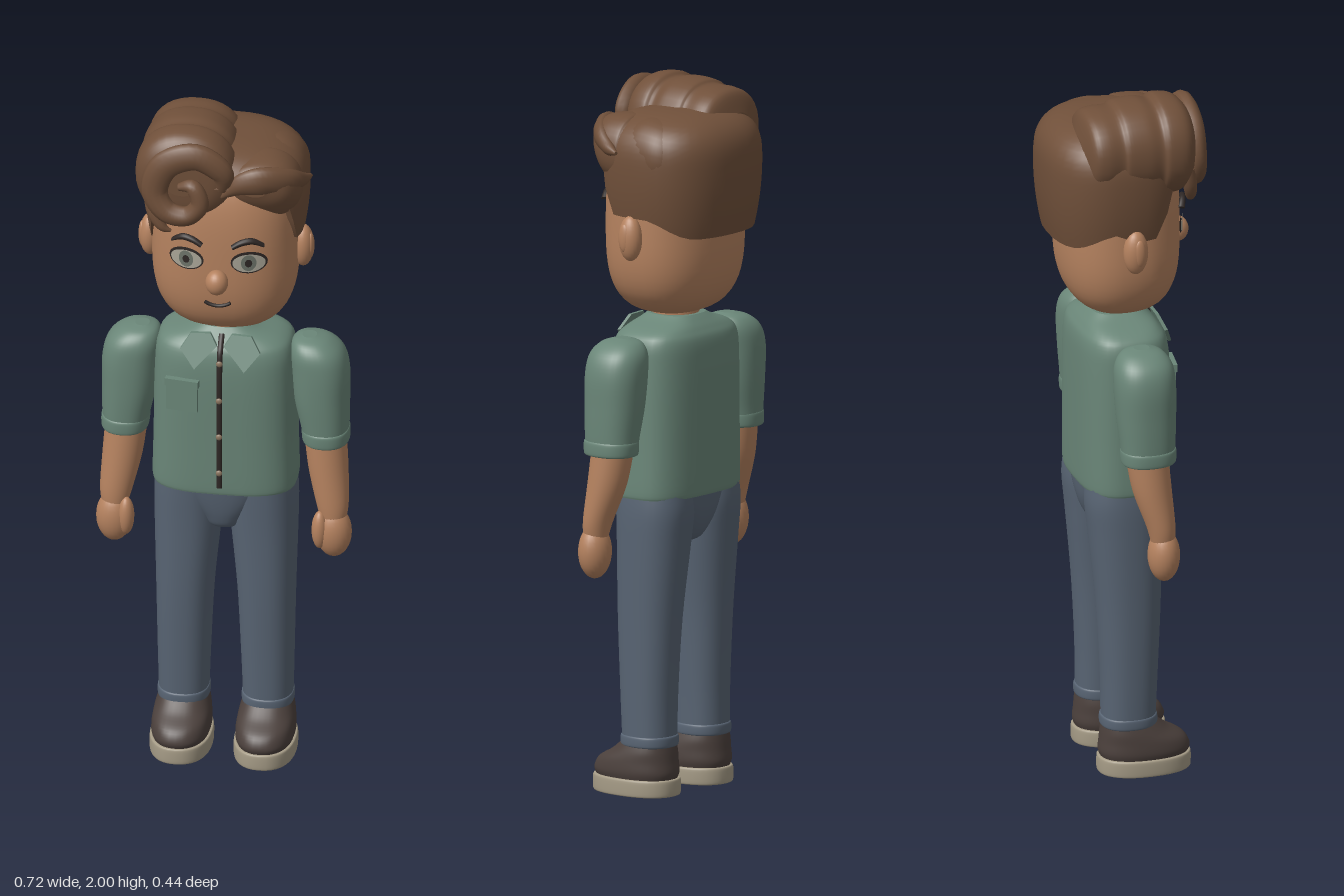
import * as THREE from 'three';

const SEG = 36;
const mat = (name, color, side = THREE.FrontSide) => {
  const m = new THREE.MeshStandardMaterial({ color, side });
  m.name = name;
  return m;
};

// superellipse point on the unit outline
const outline = (a, n) => [Math.cos(a), Math.sin(a)].map(v => Math.sign(v) * Math.abs(v) ** (2 / n));

// Catmull-Rom interpolation of every column of a table of sections
function smooth(rows, steps = 5) {
  const out = [], at = i => rows[Math.max(0, Math.min(rows.length - 1, i))];
  for (let i = 0; i < rows.length - 1; i++) {
    for (let s = 0; s < steps; s++) {
      const t = s / steps;
      out.push(rows[i].map((p1, c) => {
        const p0 = at(i - 1)[c], p2 = at(i + 1)[c], p3 = at(i + 2)[c];
        return p1 + 0.5 * t * (p2 - p0 + t * (2 * p0 - 5 * p1 + 4 * p2 - p3 + t * (3 * (p1 - p2) + p3 - p0)));
      }));
    }
  }
  out.push(rows[rows.length - 1]);
  return out;
}

// skin a list of closed rings of [x, y, z] points, with flat end caps
function skin(rings, caps = true) {
  const n = rings[0].length, pos = rings.flat(2), index = [];
  for (let i = 0; i < rings.length - 1; i++) {
    for (let j = 0; j < n; j++) {
      const a = i * n + j, b = i * n + (j + 1) % n;
      index.push(a, a + n, b, b, a + n, b + n);
    }
  }
  if (caps) [rings[0], rings[rings.length - 1]].forEach((ring, end) => {
    const base = pos.length / 3;
    pos.push(...ring.flat(), ...[0, 1, 2].map(k => ring.reduce((s, p) => s + p[k], 0) / n));
    for (let j = 0; j < n; j++) {
      const a = base + j, b = base + (j + 1) % n;
      index.push(base + n, ...(end ? [b, a] : [a, b]));
    }
  });
  const g = new THREE.BufferGeometry();
  g.setAttribute('position', new THREE.Float32BufferAttribute(pos, 3));
  g.setIndex(index);
  g.computeVertexNormals();
  return g;
}

const angles = Array.from({ length: SEG }, (_, j) => j / SEG * Math.PI * 2);

// upright sections [y, cx, cz, rx, rz], listed upward
const loftY = (rows, n = 2.3) => skin(smooth(rows).map(([y, cx, cz, rx, rz]) =>
  angles.map(a => { const [c, s] = outline(a, n); return [cx + c * rx, y, cz + s * rz]; })));

// sections facing the front [z, cx, cy, rx, ry], listed from front to back
const loftZ = (rows, n = 2.2) => skin(smooth(rows).map(([z, cx, cy, rx, ry]) =>
  angles.map(a => { const [c, s] = outline(a, n); return [cx + c * rx, cy + s * ry, z]; })));

// tapered strand through [x, y, z, halfWidth, halfDepth]
function strand(rows) {
  const pts = smooth(rows, 6), Z = new THREE.Vector3(0, 0, 1);
  return skin(pts.map((p, i) => {
    const q = pts[Math.max(0, i - 1)], r = pts[Math.min(pts.length - 1, i + 1)];
    const T = new THREE.Vector3(r[0] - q[0], r[1] - q[1], r[2] - q[2]).normalize();
    const U = T.clone().cross(Z).normalize(), V = U.clone().cross(T);
    return angles.filter((_, j) => j % 3 === 0).map(a =>
      new THREE.Vector3(p[0], p[1], p[2]).addScaledVector(V, Math.cos(a) * p[4]).addScaledVector(U, -Math.sin(a) * p[3]).toArray());
  }));
}

// head surface
const headScale = y => Math.cbrt(Math.max(0, 1 - Math.abs((y - 1.6) / (y < 1.6 ? 0.25 : 0.3)) ** 3));
const faceZ = (x, y) => {
  const k = headScale(y);
  return 0.168 * k * Math.max(0, 1 - (Math.abs(x) / (0.205 * k)) ** 2.4) ** (1 / 2.4);
};

// thin oval laid on the face
function faceOval(x, y, rx, ry, lift) {
  const g = new THREE.RingGeometry(0.0001, 1, 28, 4).scale(rx, ry, 1).translate(x, y, 0), p = g.attributes.position;
  for (let i = 0; i < p.count; i++) p.setZ(i, faceZ(p.getX(i), p.getY(i)) + lift);
  g.computeVertexNormals();
  return g;
}

// hair shell whose rim height changes around the head
function hairCap() {
  const step = THREE.MathUtils.smoothstep, rings = [];
  const ring = (t, inset = 1) => angles.map(a => {
    const s = Math.sin(a), left = Math.cos(a) < -0.3 ? 0.03 * step(s, -0.2, 0.1) : 0;
    const rim = 1.59 + 0.055 * step(s, -0.85, -0.1) + 0.2 * step(s, 0.33, 0.75) - left;
    const y = rim + (1.93 - rim) * Math.sin(t * Math.PI / 2);
    const k = inset * (y > 1.78 ? Math.cbrt(Math.max(0, 1 - ((y - 1.78) / 0.15) ** 3)) : 1 - 0.11 * ((1.78 - y) / 0.2) ** 2);
    const [c, d] = outline(a, 2.4);
    return [c * 0.23 * k, y, -0.022 + d * 0.2 * k];
  });
  rings.push(ring(0, 0.82), ring(0));
  for (let i = 0; i <= 20; i++) rings.push(ring(i / 20));
  return skin(rings, false);
}

export function createModel() {
  const root = new THREE.Group();
  const M = {
    skin: mat('skin', 0xb5825f), hair: mat('hair', 0x70503a), shirt: mat('shirt', 0x6a8678),
    trousers: mat('trousers', 0x586473), shoe: mat('shoe', 0x4b403c), sole: mat('sole', 0xa59b86),
    eye: mat('eye white', 0xa8a496), iris: mat('iris', 0x6c7268), dark: mat('dark line', 0x2e2725), button: mat('button', 0x8a7560),
  };
  const add = (name, geo, m) => {
    const mesh = new THREE.Mesh(geo, m);
    mesh.name = name;
    root.add(mesh);
    return mesh;
  };
  const ball = (x, y, z, rx, ry, rz) => new THREE.SphereGeometry(1, 24, 16).scale(rx, ry, rz).translate(x, y, z);

  // head
  const headRings = [];
  for (let i = 0; i <= 28; i++) {
    const y = 1.6 - Math.cos(i / 28 * Math.PI) * (i < 14 ? 0.2499 : 0.2999), k = headScale(y);
    headRings.push(angles.map(a => { const [c, s] = outline(a, 2.4); return [c * 0.205 * k, y, s * 0.168 * k]; }));
  }
  add('head', skin(headRings), M.skin);
  add('neck', new THREE.CylinderGeometry(0.065, 0.068, 0.1, 28).translate(0, 1.35, 0), M.skin);
  add('nose', ball(0, 1.553, 0.178, 0.032, 0.037, 0.032), M.skin);
  add('mouth', strand([-0.036, -0.02, 0, 0.02, 0.036].map(x => {
    const y = 1.47 + 9 * x * x;
    return [x, y, faceZ(x, y) + 0.003, 0.005, 0.005];
  })), M.dark);

  // torso
  add('shirtBody', loftY([
    [0.845, 0, 0, 0.2, 0.125], [0.87, 0, 0, 0.203, 0.128], [1.0, 0, 0, 0.2, 0.129], [1.2, 0, 0, 0.197, 0.129],
    [1.28, 0, -0.002, 0.191, 0.122], [1.312, 0, -0.004, 0.165, 0.105], [1.335, 0, -0.005, 0.1, 0.085], [1.348, 0, -0.005, 0.074, 0.072],
  ], 3), M.shirt);
  add('frontSeam', strand([[0, 0.87, 0.129], [0, 1.0, 0.13], [0, 1.2, 0.13], [0, 1.28, 0.122], [0, 1.312, 0.103], [0, 1.335, 0.082]]
    .map(p => [...p, 0.008, 0.006])), M.dark);
  for (const y of [0.92, 1.035, 1.15, 1.265]) add('button', ball(0, y, y > 1.2 ? 0.131 : 0.137, 0.009, 0.009, 0.005), M.button);
  const pocket = new THREE.Group();
  pocket.name = 'chestPocket';
  [[0.09, 0.095, 0.012, 0, 0], [0.096, 0.022, 0.018, 0.04, 0.001]].forEach(([w, h, d, y, z]) => {
    const p = new THREE.Mesh(new THREE.BoxGeometry(w, h, d), M.shirt);
    p.name = 'pocketPanel';
    p.position.set(0, y, z);
    pocket.add(p);
  });
  pocket.position.set(-0.105, 1.157, 0.128);
  pocket.rotation.y = -0.14;
  root.add(pocket);

  // hips
  add('hips', loftY([
    [0.7, 0, 0, 0.03, 0.04], [0.715, 0, 0, 0.055, 0.075], [0.75, 0, -0.004, 0.08, 0.095], [0.8, 0, -0.006, 0.13, 0.108], [0.86, 0, -0.005, 0.18, 0.115],
  ]), M.trousers);

  for (const s of [-1, 1]) {
    // face details
    const ex = s * 0.088;
    add('eyeRim', faceOval(ex, 1.615, 0.05, 0.034, 0.004), M.dark);
    add('eyeWhite', faceOval(ex, 1.614, 0.045, 0.028, 0.007), M.eye);
    add('iris', faceOval(ex, 1.616, 0.021, 0.025, 0.009), M.iris);
    add('pupil', faceOval(ex, 1.616, 0.01, 0.012, 0.011), M.dark);
    add('eyebrow', strand([[0.043, 1.666, 0.007], [0.068, 1.68, 0.009], [0.098, 1.684, 0.009], [0.128, 1.668, 0.004]]
      .map(([x, y, w]) => [s * x, y, faceZ(x, y) + 0.009, w, 0.009])), M.dark);
    add('ear', ball(s * 0.215, 1.587, -0.01, 0.03, 0.064, 0.035), M.skin);
    add('innerEar', ball(s * 0.236, 1.59, -0.005, 0.011, 0.04, 0.018), M.skin);

    // collar flap
    const flap = new THREE.Shape([[0.01, 1.31], [0.07, 1.247], [0.112, 1.298], [0.085, 1.34], [0.03, 1.342]]
      .map(([x, y]) => new THREE.Vector2(s * x, y)));
    const fg = new THREE.ExtrudeGeometry(flap, { depth: 0.01, bevelEnabled: false }), fp = fg.attributes.position;
    for (let i = 0; i < fp.count; i++) fp.setZ(i, fp.getZ(i) + 0.128 - (fp.getY(i) - 1.25) * 0.45);
    fg.computeVertexNormals();
    add('collarFlap', fg, M.shirt);

    // arm
    const side = rows => rows.map(([y, x, ...r]) => [y, s * x, ...r]);
    add('sleeve', loftY(side([
      [1.0, 0.281, 0.004, 0.063, 0.074], [1.04, 0.278, 0.004, 0.068, 0.077], [1.12, 0.27, 0.002, 0.077, 0.083],
      [1.21, 0.265, 0, 0.081, 0.086], [1.265, 0.255, 0, 0.075, 0.08], [1.297, 0.242, 0, 0.052, 0.057], [1.309, 0.235, 0, 0.02, 0.022],
    ])), M.shirt);
    add('sleeveCuff', loftY(side([
      [0.984, 0.282, 0.005, 0.06, 0.072], [0.99, 0.282, 0.005, 0.066, 0.077], [1.02, 0.281, 0.005, 0.067, 0.078], [1.027, 0.281, 0.005, 0.062, 0.073],
    ])), M.shirt);
    add('forearm', loftY(side([[0.75, 0.307, 0.04, 0.036, 0.034], [0.8, 0.303, 0.034, 0.046, 0.041], [0.9, 0.289, 0.014, 0.056, 0.055], [1.0, 0.279, 0.002, 0.059, 0.06]]), 2), M.skin);
    add('hand', ball(s * 0.308, 0.71, 0.042, 0.051, 0.077, 0.045), M.skin);
    add('thumb', ball(s * 0.272, 0.722, 0.062, 0.023, 0.058, 0.026), M.skin);

    // leg
    add('trouserLeg', loftY(side([
      [0.165, 0.118, -0.002, 0.07, 0.076], [0.3, 0.117, 0, 0.074, 0.08], [0.5, 0.114, -0.001, 0.081, 0.09],
      [0.7, 0.107, -0.008, 0.093, 0.102], [0.8, 0.104, -0.011, 0.097, 0.109], [0.86, 0.102, -0.008, 0.095, 0.108],
    ])), M.trousers);
    add('trouserHem', loftY(side([[0.138, 0.118, -0.002, 0.068, 0.075], [0.143, 0.118, -0.002, 0.073, 0.08], [0.165, 0.118, -0.002, 0.073, 0.08], [0.17, 0.118, -0.002, 0.069, 0.076]])), M.trousers);

    // shoe
    add('shoeUpper', loftY(side([
      [0.045, 0.118, 0.043, 0.078, 0.124], [0.065, 0.118, 0.043, 0.083, 0.13], [0.095, 0.118, 0.036, 0.081, 0.12],
      [0.122, 0.118, 0.014, 0.076, 0.095], [0.148, 0.118, 0, 0.068, 0.077],
    ])), M.shoe);
    add('shoeSole', loftY(side([[0, 0.118, 0.043, 0.083, 0.128], [0.006, 0.118, 0.043, 0.087, 0.133], [0.042, 0.118, 0.043, 0.087, 0.133], [0.048, 0.118, 0.043, 0.082, 0.128]])), M.sole);
  }

  // hair
  add('hairCap', hairCap(), M.hair);
  add('hairQuiff', loftZ([
    [0.178, -0.1, 1.87, 0.05, 0.05], [0.17, -0.1, 1.865, 0.1, 0.095], [0.14, -0.097, 1.86, 0.135, 0.132], [0.09, -0.095, 1.86, 0.143, 0.14],
    [0.068, -0.095, 1.86, 0.134, 0.128], [0.03, -0.095, 1.86, 0.139, 0.135], [-0.025, -0.095, 1.86, 0.137, 0.131],
    [-0.045, -0.095, 1.86, 0.129, 0.12], [-0.09, -0.095, 1.86, 0.133, 0.118], [-0.125, -0.095, 1.86, 0.12, 0.104], [-0.145, -0.095, 1.85, 0.07, 0.06],
  ]), M.hair);
  add('hairSidePart', loftZ([
    [0.155, 0.1, 1.85, 0.04, 0.03], [0.14, 0.11, 1.845, 0.08, 0.06], [0.1, 0.12, 1.825, 0.1, 0.092], [0.045, 0.12, 1.815, 0.104, 0.104],
    [0.025, 0.12, 1.815, 0.098, 0.096], [-0.03, 0.12, 1.815, 0.105, 0.105], [-0.09, 0.12, 1.81, 0.103, 0.1], [-0.13, 0.115, 1.805, 0.085, 0.08], [-0.15, 0.11, 1.8, 0.04, 0.04],
  ]), M.hair);
  // front locks
  add('frontCurl', strand([
    [0.01, 1.84, 0.15, 0.02, 0.02], [0.012, 1.9, 0.168, 0.034, 0.026], [-0.06, 1.948, 0.178, 0.04, 0.028], [-0.145, 1.915, 0.18, 0.042, 0.028],
    [-0.175, 1.835, 0.18, 0.038, 0.028], [-0.14, 1.775, 0.187, 0.033, 0.028], [-0.08, 1.768, 0.194, 0.028, 0.027],
    [-0.045, 1.81, 0.197, 0.026, 0.025], [-0.065, 1.86, 0.194, 0.022, 0.022], [-0.105, 1.855, 0.188, 0.01, 0.012],
  ]), M.hair);
  add('looseLock', strand([[-0.185, 1.81, 0.15, 0.025, 0.02], [-0.178, 1.755, 0.16, 0.022, 0.02], [-0.155, 1.715, 0.168, 0.014, 0.014], [-0.13, 1.702, 0.168, 0.004, 0.004]]), M.hair);
  add('sweptLock', strand([
    [0.01, 1.815, 0.15, 0.008, 0.012], [0.06, 1.855, 0.155, 0.03, 0.022], [0.12, 1.87, 0.148, 0.042, 0.026], [0.185, 1.855, 0.11, 0.04, 0.026],
    [0.222, 1.835, 0.06, 0.022, 0.018], [0.242, 1.828, 0.02, 0.005, 0.005],
  ]), M.hair);
  return root;
}
